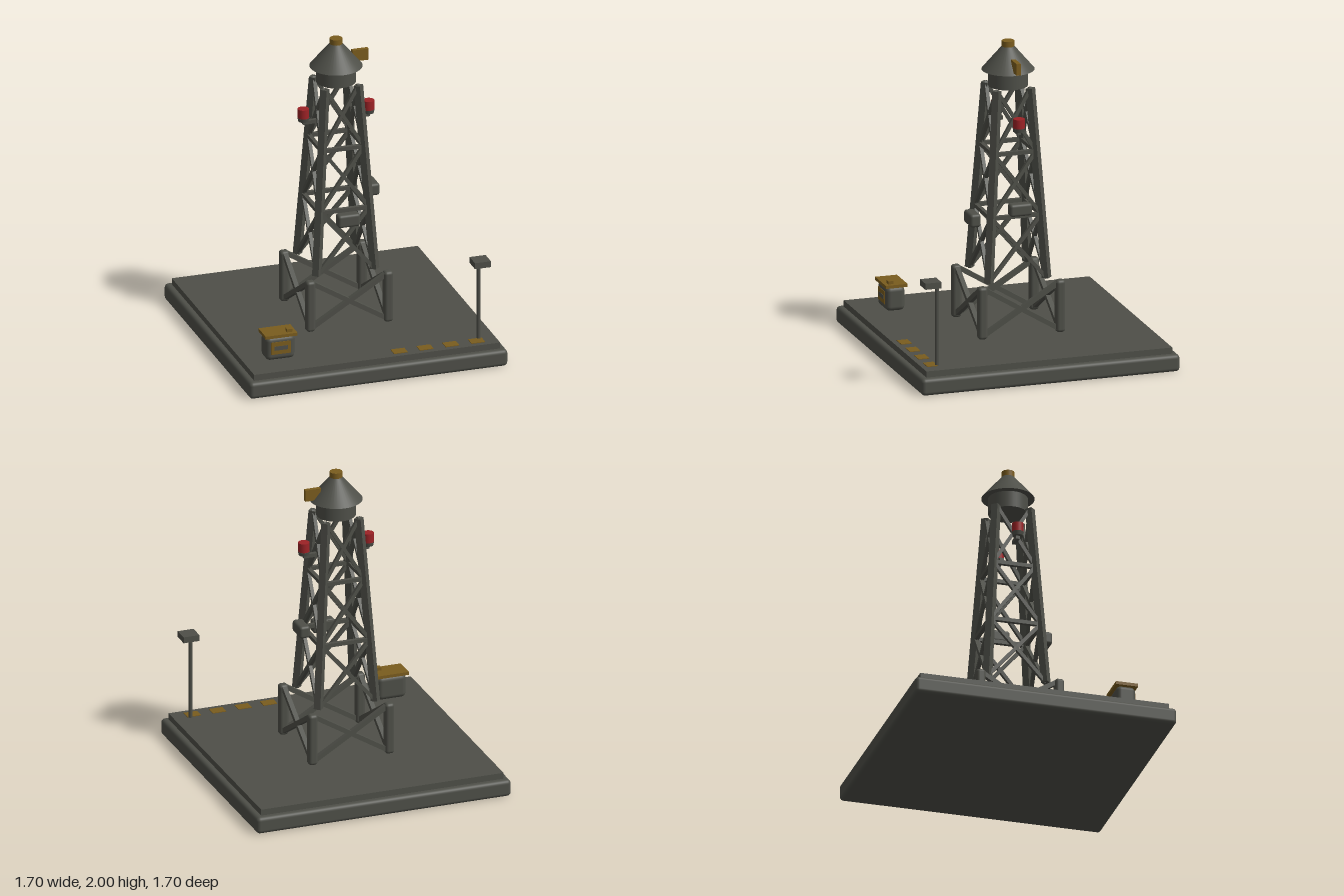
import * as THREE from 'three';
import { RoundedBoxGeometry } from 'three/addons/geometries/RoundedBoxGeometry.js';

const steel = new THREE.MeshStandardMaterial({ color: 0x4e4f48 });
steel.name = 'dark steel';
const brass = new THREE.MeshStandardMaterial({ color: 0x7a5c1e });
brass.name = 'aged brass';
const red = new THREE.MeshStandardMaterial({ color: 0x9c2226 });
red.name = 'signal red';

const V = (x, y, z) => new THREE.Vector3(x, y, z);

export function createModel() {
  const model = new THREE.Group();
  model.name = 'latticeTower';

  const add = (name, geometry, material, x = 0, y = 0, z = 0, parent = model) => {
    const mesh = new THREE.Mesh(geometry, material);
    mesh.name = name;
    mesh.position.set(x, y, z);
    parent.add(mesh);
    return mesh;
  };
  // Boxes given by their lower and upper limits on each axis
  const box = (name, material, x0, x1, y0, y1, z0, z1, radius = 0, parent = model) => {
    const size = [x1 - x0, y1 - y0, z1 - z0];
    const geometry = radius
      ? new RoundedBoxGeometry(...size, 3, radius)
      : new THREE.BoxGeometry(...size);
    return add(name, geometry, material, (x0 + x1) / 2, (y0 + y1) / 2, (z0 + z1) / 2, parent);
  };
  // Square bar from a to b, with one side turned towards the outward direction
  const beam = (name, a, b, width, outward, parent) => {
    const dir = b.clone().sub(a);
    const length = dir.length();
    dir.normalize();
    const side = dir.clone().cross(outward).normalize();
    const out = side.clone().cross(dir);
    const mesh = add(name, new THREE.BoxGeometry(width, length, width), steel, 0, 0, 0, parent);
    mesh.quaternion.setFromRotationMatrix(new THREE.Matrix4().makeBasis(side, dir, out));
    mesh.position.copy(a).add(b).multiplyScalar(0.5);
  };

  // Stepped base
  box('basePlinth', steel, -0.85, 0.85, 0, 0.11, -0.85, 0.85, 0.025);
  box('baseDeck', steel, -0.81, 0.81, 0.1, 0.15, -0.81, 0.81);

  // Lattice: four identical faces, each with one corner post and one leg
  const bottom = 0.49, top = 1.71;
  const half = (y) => THREE.MathUtils.mapLinear(y, bottom, top, 0.19, 0.11);
  const levels = [0.49, 0.9, 1.305, 1.71];
  for (let i = 0; i < 4; i++) {
    const face = new THREE.Group();
    face.name = 'towerFace' + (i + 1);
    face.rotation.y = i * Math.PI / 2;
    model.add(face);
    const front = V(0, 0, 1);

    // Footing post and its cross bracing
    box('footingPost', steel, 0.226, 0.286, 0.15, 0.49, 0.226, 0.286, 0.02, face);
    for (const s of [-1, 1]) {
      beam('footingBrace', V(-0.25 * s, 0.17, 0.255), V(0.25 * s, 0.475, 0.255), 0.03, front, face);
    }

    // Sloping leg, set diagonally
    beam('towerLeg', V(0.19, bottom, 0.19), V(0.11, top, 0.11), 0.045, V(1, 0, 1), face);

    // Crosses between levels and the horizontal rails
    for (let k = 0; k < 3; k++) {
      const y0 = levels[k], y1 = levels[k + 1], h0 = half(y0), h1 = half(y1);
      for (const s of [-1, 1]) {
        beam('crossBrace', V(-h0 * s, y0, h0), V(h1 * s, y1, h1), 0.023, front, face);
      }
      if (k > 0) beam('horizontalRail', V(-h0, y0, h0), V(h0, y0, h0), 0.025, front, face);
    }
  }

  // Head with conical roof, cap and vane
  add('headDrum', new THREE.CylinderGeometry(0.125, 0.125, 0.11, 40), steel, 0, 1.765, 0);
  add('headRoof', new THREE.CylinderGeometry(0.035, 0.167, 0.155, 40), steel, 0, 1.8925, 0);
  add('roofCap', new THREE.CylinderGeometry(0.04, 0.04, 0.04, 24), brass, 0, 1.98, 0);
  box('vane', brass, 0.105, 0.21, 1.83, 1.905, -0.014, 0.014);

  // Warning lamps on side brackets
  for (const s of [-1, 1]) {
    const lamp = new THREE.Group();
    lamp.name = s > 0 ? 'leftWarningLamp' : 'rightWarningLamp';
    model.add(lamp);
    add('lampBracket', new THREE.BoxGeometry(0.09, 0.025, 0.025), steel, 0.175 * s, 1.457, 0, lamp);
    add('lampSocket', new THREE.CylinderGeometry(0.038, 0.032, 0.025, 24), steel, 0.215 * s, 1.478, 0, lamp);
    add('lampGlass', new THREE.CylinderGeometry(0.036, 0.036, 0.06, 24), red, 0.215 * s, 1.52, 0, lamp);
  }

  // Equipment boxes on the lattice
  box('frontEquipmentBox', steel, -0.073, 0.073, 0.82, 0.905, 0.2, 0.27, 0.018);
  box('sideEquipmentBox', steel, 0.197, 0.267, 0.925, 1.005, -0.073, 0.073, 0.018);

  // Cabinet with lid, knob and framed vent
  const cabinet = new THREE.Group();
  cabinet.name = 'cabinet';
  model.add(cabinet);
  box('cabinetBody', steel, -0.67, -0.48, 0.15, 0.307, 0.513, 0.637, 0.03, cabinet);
  box('cabinetLid', brass, -0.68, -0.47, 0.305, 0.325, 0.503, 0.647, 0, cabinet);
  box('lidKnob', brass, -0.53, -0.495, 0.325, 0.345, 0.588, 0.622, 0, cabinet);
  box('ventPlate', brass, -0.64, -0.51, 0.193, 0.275, 0.634, 0.641, 0, cabinet);
  box('ventOpening', steel, -0.62, -0.533, 0.22, 0.247, 0.638, 0.643, 0, cabinet);

  // Lamp post
  add('lampPole', new THREE.CylinderGeometry(0.013, 0.013, 0.53, 16), steel, 0.703, 0.415, 0.705);
  box('lampPostHead', steel, 0.648, 0.753, 0.665, 0.705, 0.692, 0.798);

  // Painted deck markings
  for (let i = 0; i < 4; i++) {
    const x = 0.168 + 0.17 * i;
    box('deckMarking', brass, x - 0.045, x + 0.045, 0.148, 0.154, 0.705, 0.775);
  }
  return model;
}
